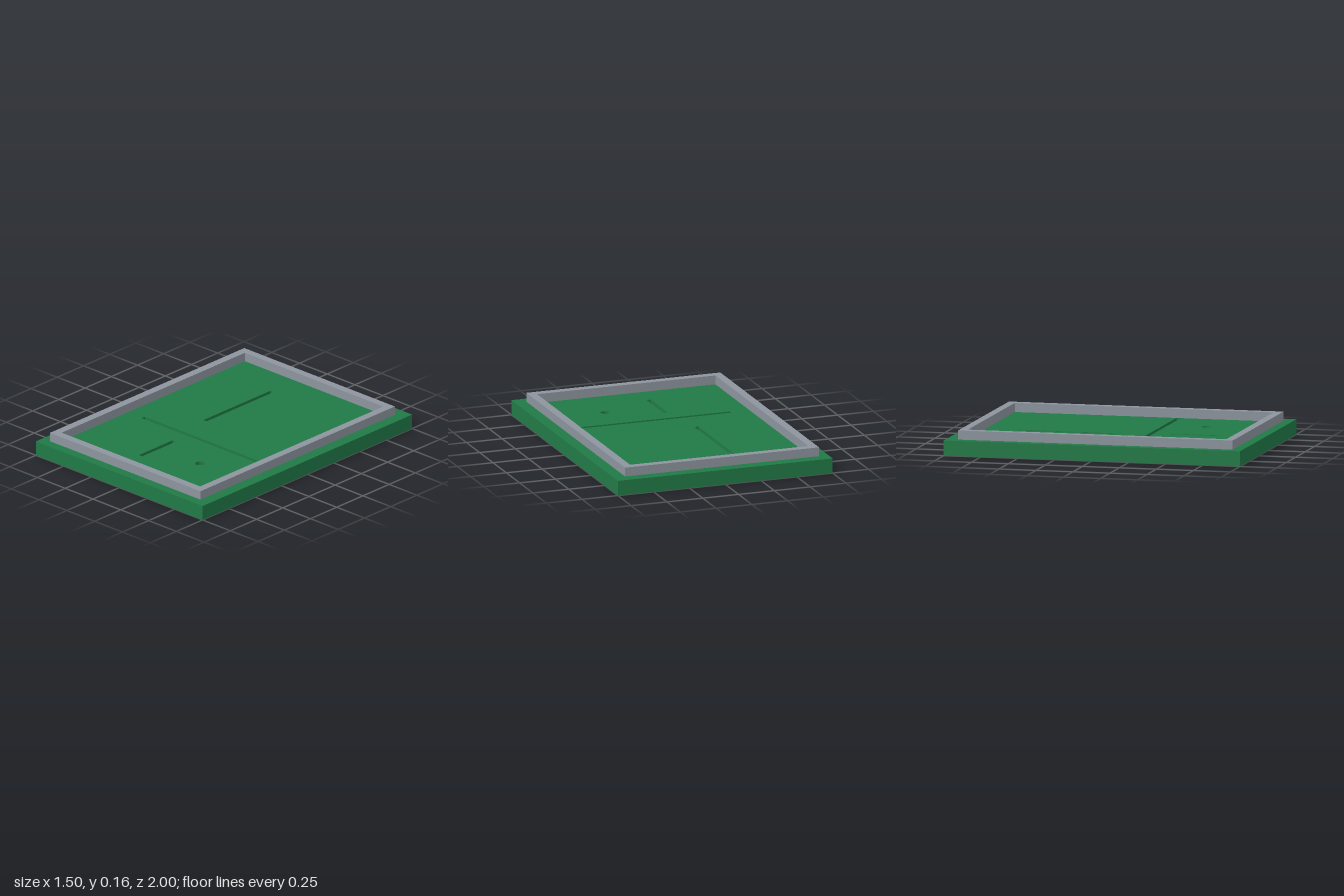
import * as THREE from 'three';

const green = new THREE.MeshStandardMaterial({ color: 0x217a47 });
const grey = new THREE.MeshStandardMaterial({ color: 0x8d949e });

// Rectangle in plan, given by its x and z ranges (shape y is -z)
function rect(Type, x0, x1, z0, z1) {
  return new Type([[x0, -z1], [x1, -z1], [x1, -z0], [x0, -z0]].map(([x, y]) => new THREE.Vector2(x, y)));
}

// Plan shape raised from y0 to y1
function slab(name, shape, y0, y1, material) {
  const geometry = new THREE.ExtrudeGeometry(shape, { depth: y1 - y0, bevelEnabled: false, curveSegments: 24 });
  geometry.rotateX(-Math.PI / 2).translate(0, y0, 0);
  const mesh = new THREE.Mesh(geometry, material);
  mesh.name = name;
  return mesh;
}

export function createModel() {
  const model = new THREE.Group();
  model.name = 'framedBoard';
  const top = 0.1, grooveFloor = 0.075;

  // Solid lower board, which closes the grooves underneath
  model.add(slab('boardBottom', rect(THREE.Shape, -0.75, 0.75, -1, 1), 0, grooveFloor, green));

  // Upper board with three narrow grooves and a round pit
  const playfield = rect(THREE.Shape, -0.75, 0.75, -1, 1);
  const grooves = [
    [-0.185, -0.155, -0.64, 0],
    [-0.5, 0.615, 0.225, 0.255],
    [-0.11, -0.08, 0.375, 0.695],
  ];
  for (const g of grooves) playfield.holes.push(rect(THREE.Path, ...g));
  playfield.holes.push(new THREE.Path().absarc(0.273, -0.517, 0.032, 0, Math.PI * 2, true));
  model.add(slab('boardTop', playfield, grooveFloor, top, green));

  // Raised rim around the playing area
  const rim = rect(THREE.Shape, -0.685, 0.67, -0.92, 0.935);
  rim.holes.push(rect(THREE.Path, -0.63, 0.615, -0.867, 0.88));
  model.add(slab('rimFrame', rim, top, 0.16, grey));

  return model;
}
